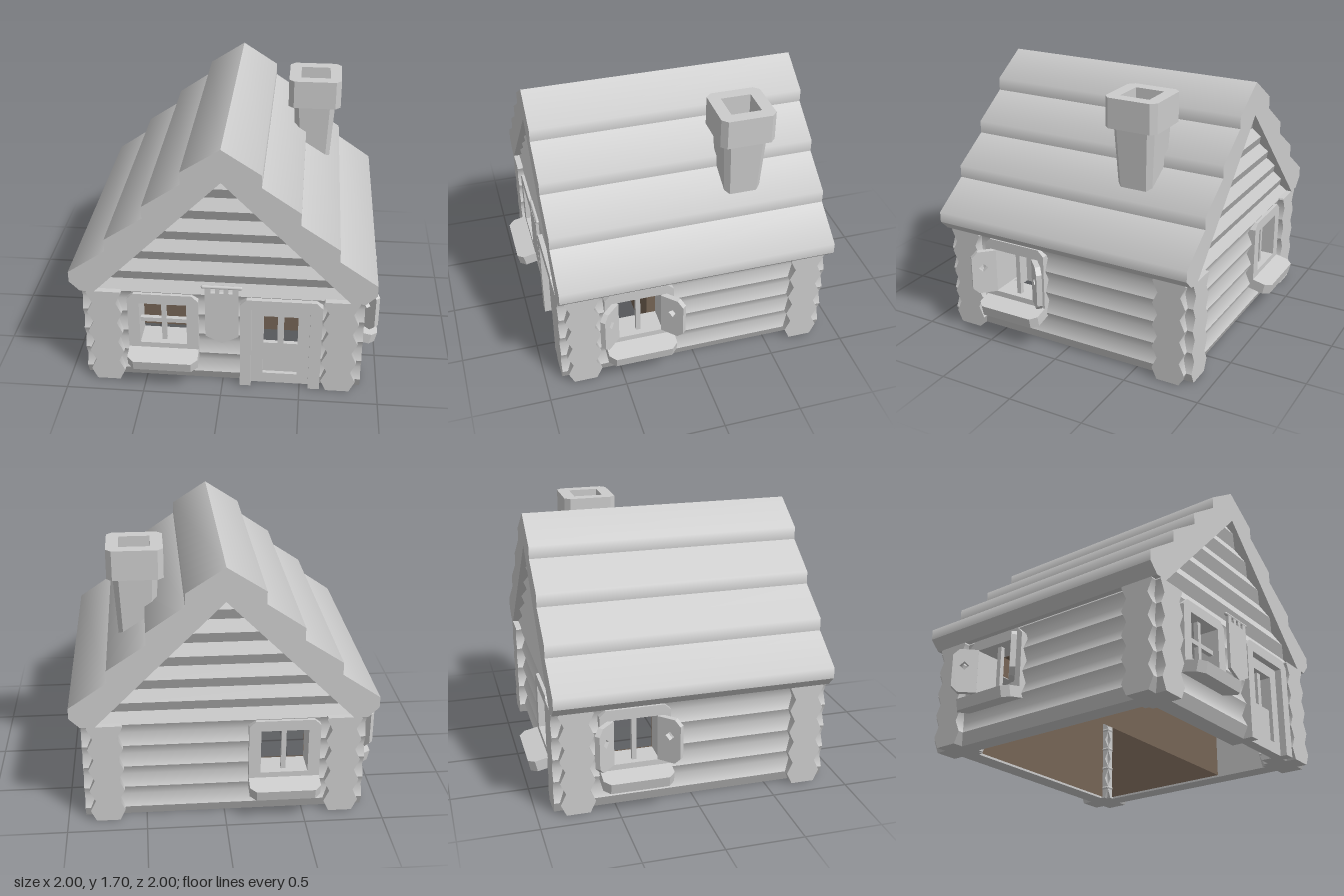
import * as THREE from 'three';

const grey = new THREE.MeshStandardMaterial({ color: 0xcccccc });
grey.name = 'grey';
const brown = new THREE.MeshStandardMaterial({ color: 0x756455, side: THREE.DoubleSide });
brown.name = 'brown';

const WALL_TOP = 0.685, IN = 0.70, MID = 0.745, END = 0.89;

function add(parent, name, geo, mat = grey) {
  const m = new THREE.Mesh(geo, mat);
  m.name = name;
  parent.add(m);
  return m;
}

const toShape = pts => new THREE.Shape(pts.map(p => new THREE.Vector2(p[0], p[1])));
const rectPts = (x0, x1, y0, y1) => [[x0, y0], [x1, y0], [x1, y1], [x0, y1]];

// Rectangle with chamfers at [bottom left, bottom right, top right, top left]
function chamfered(x0, x1, y0, y1, [a, b, c, d]) {
  const p = [];
  const corner = (q, r, s) => (s ? p.push(q, r) : p.push(q));
  corner(a ? [x0, y0 + a] : [x0, y0], [x0 + a, y0], a);
  corner(b ? [x1 - b, y0] : [x1, y0], [x1, y0 + b], b);
  corner(c ? [x1, y1 - c] : [x1, y1], [x1 - c, y1], c);
  corner(d ? [x0 + d, y1] : [x0, y1], [x0, y1 - d], d);
  return p;
}

function extrude(pts, depth, holes = []) {
  const s = toShape(pts);
  for (const h of holes) s.holes.push(new THREE.Path(h.map(p => new THREE.Vector2(p[0], p[1]))));
  return new THREE.ExtrudeGeometry(s, { depth, bevelEnabled: false });
}

// Smooth the side normals at the chosen outline points
function soften(geo, isSoft) {
  const p = geo.attributes.position, n = geo.attributes.normal, sums = new Map();
  for (let pass = 0; pass < 2; pass++) {
    for (let i = 0; i < p.count; i++) {
      if (Math.abs(n.getZ(i)) > 0.5 || !isSoft(p.getX(i), p.getY(i))) continue;
      const key = p.getX(i).toFixed(3) + ',' + p.getY(i).toFixed(3);
      if (!sums.has(key)) sums.set(key, new THREE.Vector3());
      const v = sums.get(key);
      if (pass === 0) v.add(new THREE.Vector3().fromBufferAttribute(n, i));
      else { v.normalize(); n.setXYZ(i, v.x, v.y, v.z); }
    }
  }
  return geo;
}

// Log outline: narrow at multiples of 0.15, wide halfway between
const bulge = y => 0.075 + 0.035 * (1 - Math.abs(((y / 0.15) % 1) * 2 - 1));

// Stacked logs running along x from u0 to u1; the back is flat unless both sides are round
function logs(u0, u1, y0, y1, both = false) {
  const ys = [y0];
  for (let k = 1; k < 24; k++) if (k * 0.075 > y0 + 0.001 && k * 0.075 < y1 - 0.001) ys.push(k * 0.075);
  ys.push(y1);
  const front = ys.map(y => [MID + bulge(y), y]);
  const back = both ? ys.map(y => [MID - bulge(y), y]).reverse() : [[IN, y1], [IN, y0]];
  const geo = extrude([...front, ...back], u1 - u0);
  soften(geo, (x, y) => y > y0 + 0.001 && y < y1 - 0.001 && Math.abs(y / 0.15 - Math.round(y / 0.15)) < 0.01);
  return geo.rotateY(-Math.PI / 2).translate(u1, 0, 0);
}

// One wall facing +z, with openings given as [u0, u1, y0, y1]
function makeWall(name, openings, top) {
  const g = new THREE.Group();
  g.name = name;
  let u = -0.66;
  for (const [a, b, c, d] of openings) {
    add(g, 'logWall', logs(u, a, 0, top));
    if (c > 0) add(g, 'logWall', logs(a, b, 0, c));
    add(g, 'logWall', logs(a, b, d, top));
    u = b;
  }
  add(g, 'logWall', logs(u, 0.66, 0, top));
  add(g, 'logEnds', logs(0.64, END, 0, WALL_TOP, true));
  add(g, 'logEnds', logs(-END, -0.64, 0, WALL_TOP, true));
  return g;
}

function addGable(wall) {
  add(wall, 'gableLogs', logs(-0.8, 0.8, 0.675, 0.75));
  for (let k = 10; k < 20; k++) add(wall, 'gableLogs', logs(k * 0.075 - 1.49, 1.49 - k * 0.075, k * 0.075, (k + 1) * 0.075));
}

function addWindow(wall, u, { cross = false, shutters = false } = {}) {
  const g = new THREE.Group();
  g.name = 'window';
  g.position.x = u;
  wall.add(g);
  add(g, 'windowFrame', extrude(chamfered(-0.225, 0.225, 0.2, 0.67, [0, 0, 0.04, 0.04]), 0.175,
    [rectPts(-0.15, 0.15, 0.3, 0.6)])).position.z = IN;
  add(g, 'mullion', new THREE.BoxGeometry(0.03, 0.3, 0.03)).position.set(0, 0.45, 0.82);
  if (cross) add(g, 'crossBar', new THREE.BoxGeometry(0.3, 0.03, 0.03)).position.set(0, 0.45, 0.82);
  // sloping sill
  const sill = add(g, 'sill', extrude(chamfered(-0.225, 0.225, -0.1, 0.114, [0, 0, 0.04, 0.04]), 0.072).rotateX(Math.PI / 2));
  sill.position.set(0, 0.26, 0.89);
  sill.rotation.x = 0.22;
  if (!shutters) return;
  for (const s of [-1, 1]) {
    const diamond = [[0.055, 0.485], [0.085, 0.455], [0.115, 0.485], [0.085, 0.515]];
    const leaf = add(g, 'shutter', extrude(chamfered(0, 0.16, 0.305, 0.6, [0, 0.04, 0.04, 0]), 0.035, [diamond]).translate(0, 0, -0.0175));
    leaf.position.set(s * 0.15, 0, 0.87);
    leaf.rotation.y = s > 0 ? -Math.PI / 4 : -Math.PI * 0.75;
  }
}

function addDoor(wall) {
  const g = new THREE.Group();
  g.name = 'door';
  wall.add(g);
  const frame = [[0.115, 0], [0.185, 0], [0.185, 0.6], [0.555, 0.6], [0.555, 0], [0.63, 0], [0.63, 0.63], [0.59, 0.67], [0.155, 0.67], [0.115, 0.63]];
  add(g, 'doorFrame', extrude(frame, 0.185)).position.z = IN;
  add(g, 'doorLeaf', extrude(rectPts(0.185, 0.555, 0, 0.6), 0.07, [rectPts(0.26, 0.48, 0.075, 0.525)])).position.z = 0.77;
  add(g, 'doorPanel', new THREE.BoxGeometry(0.23, 0.23, 0.03)).position.set(0.37, 0.185, 0.8);
  add(g, 'doorMullion', new THREE.BoxGeometry(0.04, 0.25, 0.03)).position.set(0.37, 0.41, 0.8);
}

function addBanner(wall) {
  const g = new THREE.Group();
  g.name = 'banner';
  wall.add(g);
  const cloth = [[-0.105, 0.385], [0, 0.33], [0.105, 0.385]];
  // top edge with three notches that leave hanging loops
  cloth.push([0.105, 0.745]);
  for (const x of [0.055, 0, -0.055]) cloth.push([x + 0.014, 0.745], [x + 0.014, 0.71], [x - 0.014, 0.71], [x - 0.014, 0.745]);
  cloth.push([-0.105, 0.745]);
  add(g, 'bannerCloth', extrude(cloth, 0.02)).position.z = 0.865;
  add(g, 'bannerRod', new THREE.CapsuleGeometry(0.012, 0.235, 4, 10).rotateZ(Math.PI / 2)).position.set(0, 0.75, 0.875);
}

function makeRoof() {
  const right = [[0.24, 1.545], [0.24, 1.465], [0.475, 1.305], [0.475, 1.225], [0.715, 1.065], [0.715, 0.985], [0.955, 0.82], [0.955, 0.75], [0.89, 0.685], [0.8, 0.685]];
  const left = right.map(([x, y]) => [-x, y]).reverse();
  const geo = extrude([[0, 1.7], ...right, [0, 1.487], ...left], 2 * END);
  const lips = [0, 2, 4, 6].map(i => right[i]);
  soften(geo, (x, y) => lips.some(([a, b]) => Math.abs(Math.abs(x) - a) < 0.001 && Math.abs(y - b) < 0.001));
  return geo.translate(0, 0, -END);
}

function makeChimney() {
  const g = new THREE.Group();
  g.name = 'chimney';
  g.position.set(0.525, 0, -0.37);
  const c = [0.035, 0.035, 0.035, 0.035];
  add(g, 'chimneyCap', extrude(chamfered(-0.175, 0.175, -0.175, 0.175, c), 0.19,
    [rectPts(-0.097, 0.097, -0.097, 0.097)]).rotateX(Math.PI / 2)).position.y = 1.69;
  // shaft tapers towards the bottom
  const shaft = extrude(chamfered(-0.14, 0.14, -0.14, 0.14, c), 0.56).rotateX(Math.PI / 2).translate(0, 1.52, 0);
  const p = shaft.attributes.position;
  for (let i = 0; i < p.count; i++) {
    const k = 1 - (1.52 - p.getY(i)) * 0.42;
    p.setX(i, p.getX(i) * k);
    p.setZ(i, p.getZ(i) * k);
  }
  shaft.computeVertexNormals();
  add(g, 'chimneyShaft', shaft);
  return g;
}

// Brown inner room, closed towards the front
function makeRoom() {
  const g = new THREE.Group();
  g.name = 'innerRoom';
  const R = 0.69, F = 0.28, H = 0.74;
  const panel = (name, a, b, hole) => {
    const s = toShape(rectPts(a, b, 0.01, H));
    if (hole !== undefined) s.holes.push(new THREE.Path(rectPts(hole - 0.15, hole + 0.15, 0.3, 0.6).map(p => new THREE.Vector2(p[0], p[1]))));
    return add(g, name, new THREE.ShapeGeometry(s), brown);
  };
  panel('partition', -R, R).position.z = F;
  panel('roomBack', -R, R, -0.375).position.z = -R;
  for (const s of [-1, 1]) {
    const side = panel('roomSide', -F, R, s < 0 ? 0.375 : undefined);
    side.rotation.y = Math.PI / 2;
    side.position.x = s * R;
  }
  const ceiling = add(g, 'ceiling', new THREE.PlaneGeometry(2 * R, R + F).rotateX(Math.PI / 2), brown);
  ceiling.position.set(0, H, (F - R) / 2);
  return g;
}

export function createModel() {
  const house = new THREE.Group();
  house.name = 'logCabin';
  const hole = u => [u - 0.17, u + 0.17, 0.27, 0.63];

  const front = makeWall('frontWall', [hole(-0.375), [0.15, 0.6, 0, 0.63]], WALL_TOP);
  addGable(front);
  addWindow(front, -0.375, { cross: true });
  addDoor(front);
  addBanner(front);

  const back = makeWall('backWall', [hole(0.375)], WALL_TOP);
  addGable(back);
  addWindow(back, 0.375);
  back.rotation.y = Math.PI;

  house.add(front, back);
  for (const s of [-1, 1]) {
    const side = makeWall(s > 0 ? 'leftWall' : 'rightWall', [hole(-0.375)], WALL_TOP);
    addWindow(side, -0.375, { shutters: true });
    side.rotation.y = s * Math.PI / 2;
    house.add(side);
  }
  add(house, 'roof', makeRoof());
  house.add(makeChimney(), makeRoom());
  return house;
}
